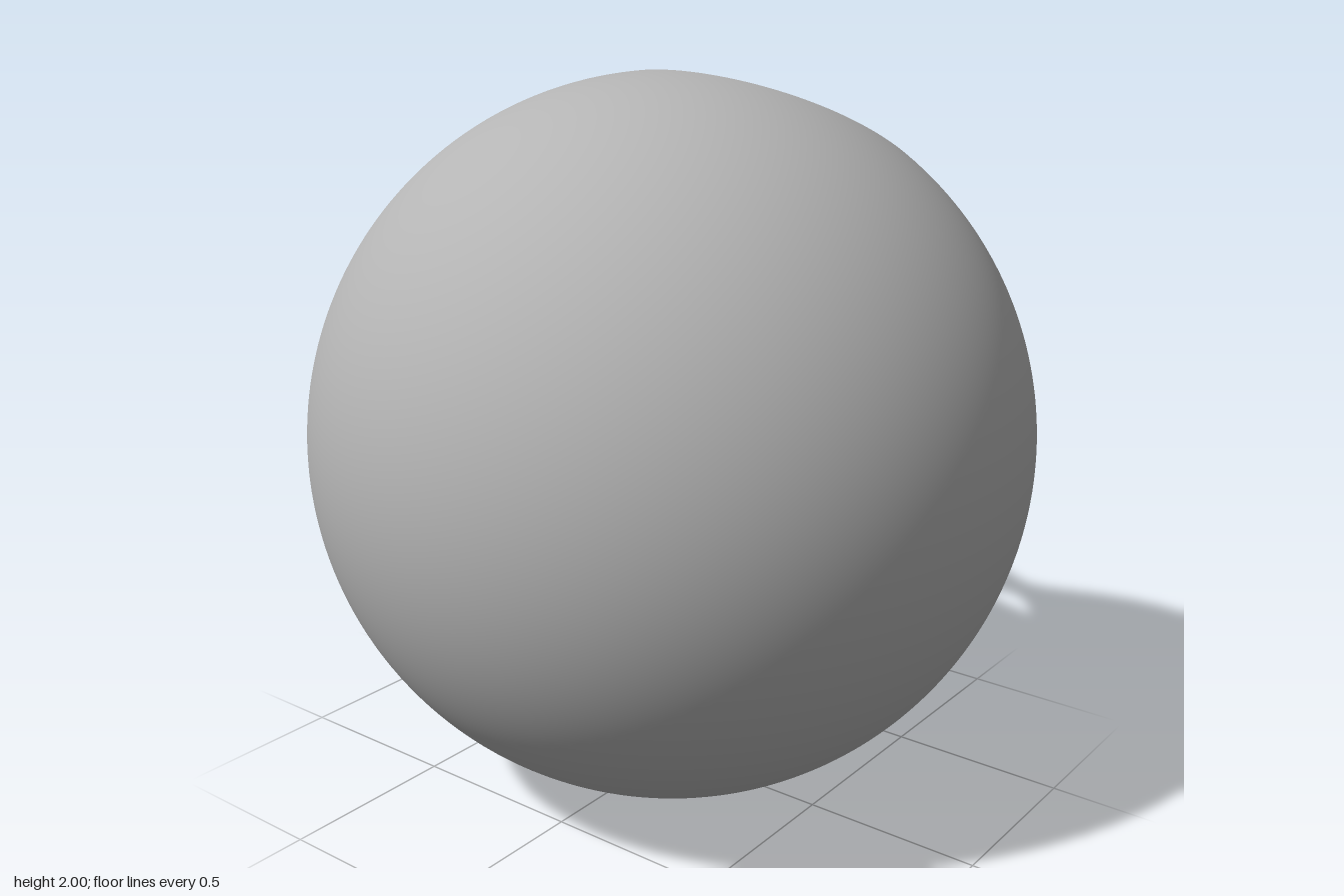
import * as THREE from 'three';

const R = 1;        // ball radius
const r = 0.5;      // bore radius
const cx = 0.497;   // bore axis offset along x

// Builds a surface from point(t, v) and normal(p), with t around the y axis and v from -1 to 1 upward.
function surface(nt, nv, point, normal, inward) {
  const pos = [], nor = [], idx = [];
  for (let j = 0; j <= nv; j++) {
    for (let i = 0; i <= nt; i++) {
      const p = point((i / nt) * Math.PI * 2, (j / nv) * 2 - 1);
      const n = normal(p);
      pos.push(p.x, p.y, p.z);
      nor.push(n.x, n.y, n.z);
    }
  }
  for (let j = 0; j < nv; j++) {
    for (let i = 0; i < nt; i++) {
      const a = j * (nt + 1) + i, b = a + nt + 1, c = a + 1, d = b + 1;
      if (inward) idx.push(a, c, b, c, d, b);
      else idx.push(a, b, c, c, b, d);
    }
  }
  const g = new THREE.BufferGeometry();
  g.setAttribute('position', new THREE.Float32BufferAttribute(pos, 3));
  g.setAttribute('normal', new THREE.Float32BufferAttribute(nor, 3));
  g.setIndex(idx);
  return g;
}

// Nested circles running from the bore rim (v = -1, 1) to the equator (v = 0), lifted onto the ball.
function ballPoint(t, v) {
  const s = 1 - v * v;
  const radius = r + (R - r) * s;
  const x = cx * (1 - s) + radius * Math.cos(t);
  const z = radius * Math.sin(t);
  const y = Math.sign(v) * Math.sqrt(Math.max(0, R * R - x * x - z * z));
  return new THREE.Vector3(x, y, z);
}

// Bore wall, reaching from the lower rim to the upper rim.
function borePoint(t, v) {
  const rim = ballPoint(t, 1);
  return new THREE.Vector3(rim.x, rim.y * v, rim.z);
}

export function createModel() {
  const grey = new THREE.MeshStandardMaterial({ color: 0xb4b4b4 });
  grey.name = 'grey';
  const group = new THREE.Group();
  group.name = 'boredBall';

  // Outer ball surface with the round opening
  const ball = new THREE.Mesh(
    surface(192, 96, ballPoint, (p) => p.clone().normalize(), false), grey);
  ball.name = 'ballSurface';

  // Wall of the vertical bore, facing its axis
  const bore = new THREE.Mesh(
    surface(192, 8, borePoint, (p) => new THREE.Vector3(cx - p.x, 0, -p.z).normalize(), true), grey);
  bore.name = 'boreWall';

  for (const mesh of [ball, bore]) {
    mesh.position.y = R;
    group.add(mesh);
  }
  return group;
}
